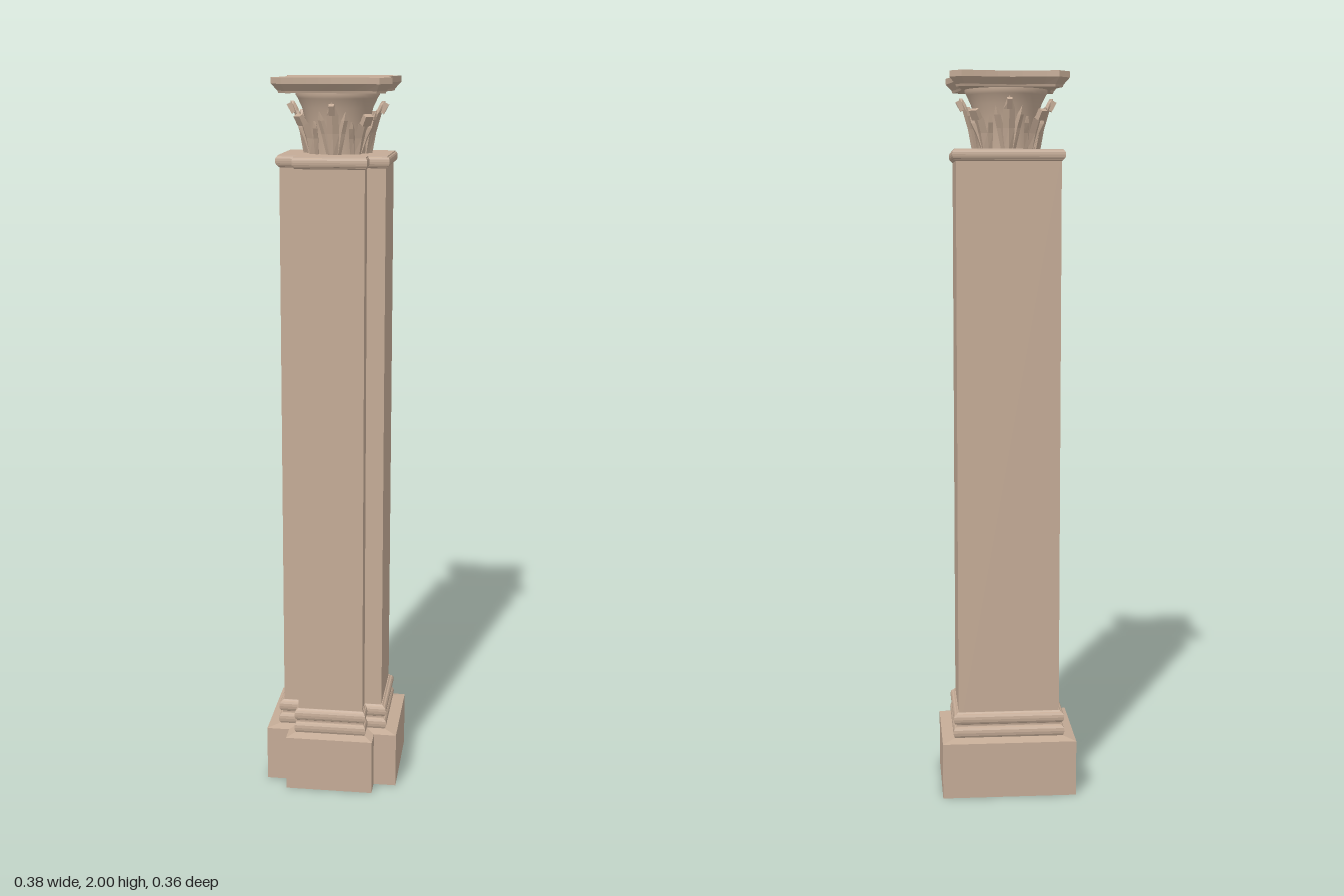
import * as THREE from 'three';

const stone = new THREE.MeshStandardMaterial({ color: 0xc4ab96 });
const stoneThin = new THREE.MeshStandardMaterial({ color: 0xc4ab96, side: THREE.DoubleSide });

// Skin a stack of closed rings (counter-clockwise from above), capped at both ends.
function loft(rings) {
  const pos = [];
  const tri = (a, b, c) => pos.push(...a, ...b, ...c);
  for (let k = 0; k < rings.length - 1; k++) {
    const r0 = rings[k], r1 = rings[k + 1], n = r0.length;
    for (let i = 0; i < n; i++) {
      const j = (i + 1) % n;
      tri(r0[i], r0[j], r1[j]);
      tri(r0[i], r1[j], r1[i]);
    }
  }
  const cap = (ring, up) => {
    const flat = ring.map(p => new THREE.Vector2(p[0], -p[2]));
    for (const [a, b, c] of THREE.ShapeUtils.triangulateShape(flat, [])) {
      if (up) tri(ring[a], ring[b], ring[c]);
      else tri(ring[a], ring[c], ring[b]);
    }
  };
  cap(rings[0], false);
  cap(rings[rings.length - 1], true);
  const g = new THREE.BufferGeometry();
  g.setAttribute('position', new THREE.Float32BufferAttribute(pos, 3));
  g.computeVertexNormals();
  return g;
}

function add(parent, name, geometry, material = stone) {
  const m = new THREE.Mesh(geometry, material);
  m.name = name;
  parent.add(m);
  return m;
}

// T-shaped plan of the pier: t = 0 is the shaft, t = 1 is the plinth.
function plan(y, t) {
  const mix = (a, b) => a + (b - a) * t;
  const w = mix(0.142, 0.188), p = mix(0.0925, 0.124);
  const front = mix(0.145, 0.178), step = mix(0.09, 0.123), back = mix(-0.122, -0.161);
  return [[-p, y, front], [p, y, front], [p, y, step], [w, y, step],
    [w, y, back], [-w, y, back], [-w, y, step], [-p, y, step]];
}
const pierPart = profile => loft(profile.map(([y, t]) => plan(y, t)));

// Half-round moulding profile between two heights.
function roll(y0, y1, t0, t1, n = 6) {
  return Array.from({ length: n + 1 }, (_, i) => {
    const a = Math.PI * i / n;
    return [y0 + (y1 - y0) * (1 - Math.cos(a)) / 2, t0 + (t1 - t0) * Math.sin(a)];
  });
}

// Square slab plan with concave sides and clipped corners.
function abacusRing(y, inset) {
  const pts = [], steps = 8;
  for (let s = 0; s < 4; s++) {
    const a = s * Math.PI / 2, c = Math.cos(a), d = Math.sin(a);
    for (let i = 0; i <= steps; i++) {
      const u = i / steps * 2 - 1;
      const x = u * (0.128 - inset * 0.5);
      const z = 0.139 + 0.02 * Math.pow(Math.abs(u), 1.5) - inset;
      pts.push([x * c + z * d, y, z * c - x * d]);
    }
  }
  return pts;
}

// One ridged leaf lobe; stations are [x, y, radius, half width].
function lobe(stations, ridge = 0.009) {
  return loft(stations.map(([x, y, r, w]) => [
    [x - w, y, r], [x, y, r + ridge * Math.min(1, w / 0.008)], [x + w, y, r], [x, y, r - 0.008],
  ]));
}

function makeLeaf(tall) {
  const leaf = new THREE.Group();
  const h = tall ? 0.137 : 0.105;
  // Middle lobe leans outward to its tip
  add(leaf, 'leafMiddle', lobe([
    [0, 1.8, 0.085, 0.012], [0, 1.8 + h * 0.4, 0.095, 0.016],
    [0, 1.8 + h * 0.75, 0.109, 0.016], [0, 1.8 + h * 0.92, 0.12, 0.008],
    [0, 1.8 + h, 0.127, 0.001],
  ]), stoneThin);
  for (const s of [-1, 1]) {
    add(leaf, 'leafSide', lobe([
      [s * 0.012, 1.8, 0.08, 0.008], [s * 0.022, 1.8 + h * 0.4, 0.09, 0.01],
      [s * 0.031, 1.8 + h * 0.65, 0.1, 0.009], [s * 0.035, 1.8 + h * 0.82, 0.108, 0.001],
    ], 0.007), stoneThin);
  }
  // Curled tip
  const tip = add(leaf, 'leafCurl', new THREE.BoxGeometry(tall ? 0.014 : 0.026, 0.028, 0.014));
  tip.position.set(0, 1.8 + h * 0.86, 0.125);
  tip.rotation.x = 0.5;
  return leaf;
}

export function createModel() {
  const model = new THREE.Group();
  model.name = 'pilaster';

  // Pier
  add(model, 'plinth', pierPart([[0, 1], [0.158, 1], [0.166, 0.25]]));
  add(model, 'baseMoulding', pierPart([
    ...roll(0.164, 0.196, 0.12, 0.33), [0.198, 0.1], [0.202, 0.1],
    ...roll(0.204, 0.234, 0.12, 0.31), [0.238, 0.05],
  ]));
  add(model, 'shaft', pierPart([[0.16, 0], [1.785, 0]]));
  add(model, 'neckMoulding', pierPart([[1.768, 0], [1.771, 0.08], ...roll(1.773, 1.797, 0.1, 0.22), [1.8, 0.08]]));

  // Capital
  const capital = new THREE.Group();
  capital.name = 'capital';
  capital.position.z = -0.019;
  model.add(capital);
  const bell = [[0.078, 1.798], [0.08, 1.84], [0.086, 1.88], [0.096, 1.92], [0.108, 1.945], [0.113, 1.953], [0.112, 1.965]];
  add(capital, 'bell', new THREE.LatheGeometry(bell.map(p => new THREE.Vector2(...p)), 32), stoneThin);
  add(capital, 'abacus', loft([abacusRing(1.96, 0.018), abacusRing(1.966, 0.016), abacusRing(1.984, 0), abacusRing(2, 0)]));
  for (let i = 0; i < 8; i++) {
    const leaf = makeLeaf(i % 2 === 0);
    leaf.name = i % 2 === 0 ? 'faceLeaf' : 'cornerLeaf';
    leaf.rotation.y = i * Math.PI / 4;
    capital.add(leaf);
  }
  return model;
}
